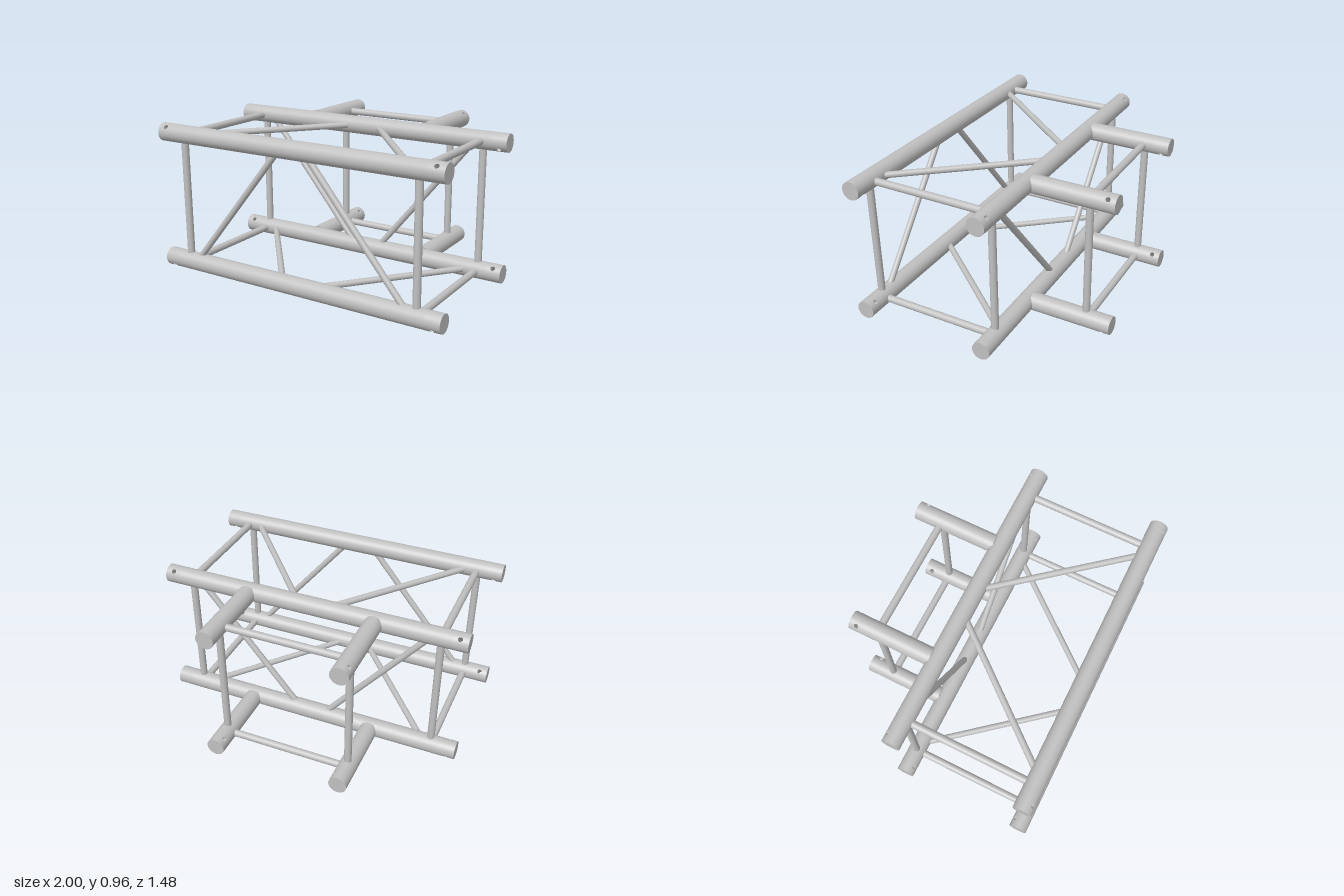
import * as THREE from 'three';
import { mergeGeometries } from 'three/addons/utils/BufferGeometryUtils.js';

const R = 0.0585;        // main tube radius
const HOLE = 0.0145;     // pin hole radius
const HALF = 0.045;      // half length of a drilled tube section
const SEG = 48;
const TOP = 0.9, BOTTOM = 0.0585, FRONT = 0.68, BACK = -0.16;

const V = (x, y, z) => new THREE.Vector3(x, y, z);

// Quarter of a tube wall, facing local +x, with a round hole in its middle
function holePatch() {
  const rings = 4, pos = [], nor = [], idx = [];
  for (let j = 0; j <= rings; j++) {
    for (let i = 0; i <= SEG; i++) {
      const p = (i / SEG) * Math.PI * 2, c = Math.cos(p), s = Math.sin(p);
      const k = 1 / Math.max(Math.abs(c), Math.abs(s)), t = j / rings;
      const a = THREE.MathUtils.lerp(Math.asin(HOLE * c / R), c * k * Math.PI / 4, t);
      const y = THREE.MathUtils.lerp(HOLE * s, s * k * HALF, t);
      pos.push(R * Math.cos(a), y, -R * Math.sin(a));
      nor.push(Math.cos(a), 0, -Math.sin(a));
    }
  }
  for (let j = 0; j < rings; j++) {
    for (let i = 0; i < SEG; i++) {
      const a = j * (SEG + 1) + i, b = a + SEG + 1;
      idx.push(a, b, b + 1, a, b + 1, a + 1);
    }
  }
  const g = new THREE.BufferGeometry();
  g.setAttribute('position', new THREE.Float32BufferAttribute(pos, 3));
  g.setAttribute('normal', new THREE.Float32BufferAttribute(nor, 3));
  g.setIndex(idx);
  return g;
}

// Inner wall of the pin hole, trimmed to the tube's curve
function holeWall() {
  const g = new THREE.CylinderGeometry(HOLE, HOLE, 1, 24, 1, true).rotateZ(Math.PI / 2);
  const p = g.attributes.position;
  for (let i = 0; i < p.count; i++) {
    p.setX(i, Math.sign(p.getX(i)) * Math.sqrt(R * R - p.getZ(i) ** 2));
  }
  return g;
}

// Tube along local y, drilled right through along local x at each given height
function drilledTube(length, holes) {
  const parts = [];
  const plain = (from, to) => parts.push(
    new THREE.CylinderGeometry(R, R, to - from, SEG).translate(0, (from + to) / 2, 0));
  let start = -length / 2;
  for (const y of holes) {
    plain(start, y - HALF);
    for (const turn of [0, Math.PI]) {
      parts.push(holePatch().rotateY(turn).translate(0, y, 0));
      parts.push(new THREE.CylinderGeometry(R, R, 2 * HALF, SEG / 4, 1, true,
        turn - Math.PI / 4, Math.PI / 2).translate(0, y, 0));
    }
    parts.push(holeWall().translate(0, y, 0));
    start = y + HALF;
  }
  plain(start, length / 2);
  parts.forEach((g) => g.deleteAttribute('uv'));
  return mergeGeometries(parts);
}

export function createModel() {
  const model = new THREE.Group();
  model.name = 'trussJunction';
  const metal = new THREE.MeshStandardMaterial({ color: 0xc0c0c0, side: THREE.DoubleSide });
  metal.name = 'aluminium';

  const addTube = (name, geometry, centre, axis, drill) => {
    const mesh = new THREE.Mesh(geometry, metal);
    mesh.name = name;
    const d = drill.clone().normalize();
    mesh.quaternion.setFromRotationMatrix(
      new THREE.Matrix4().makeBasis(d, axis, d.clone().cross(axis)));
    mesh.position.copy(centre);
    model.add(mesh);
  };

  // Thin round bar between two points
  const addBar = (name, a, b, radius = 0.0235) => {
    const dir = b.clone().sub(a);
    const mesh = new THREE.Mesh(new THREE.CylinderGeometry(radius, radius, dir.length(), 24), metal);
    mesh.name = name;
    mesh.position.copy(a).add(b).multiplyScalar(0.5);
    mesh.quaternion.setFromUnitVectors(V(0, 1, 0), dir.normalize());
    model.add(mesh);
  };

  // Four long chords, pin holes slanting outwards
  const chord = drilledTube(2, [-0.947, 0.947]);
  for (const y of [TOP, BOTTOM]) {
    for (const z of [FRONT, BACK]) {
      addTube('chord', chord, V(0, y, z), V(1, 0, 0),
        V(0, y === TOP ? 1 : -1, z === FRONT ? 1 : -1));
    }
  }

  // Four short branch tubes at the back
  const branchFront = -0.196, branchBack = -0.738;
  const branchLength = branchFront - branchBack;
  const branchMiddle = (branchFront + branchBack) / 2;
  const branch = drilledTube(branchLength, [branchMiddle + 0.688]);
  for (const y of [TOP, BOTTOM]) {
    for (const s of [-1, 1]) {
      addTube('branchTube', branch, V(s * 0.42, y, branchMiddle), V(0, 0, -1),
        V(s, y === TOP ? 1 : -1, 0));
    }
    addBar('branchCrossBar', V(-0.42, y, -0.567), V(0.42, y, -0.567));
  }

  // Diagonals run from outer (0.73) to inner (0.135) and reach into the chords
  const OUTER = 0.755, INNER = 0.11, IN = 0.03;
  for (const s of [-1, 1]) {
    addBar('branchPost', V(s * 0.42, BOTTOM, -0.565), V(s * 0.42, TOP, -0.565));
    for (const z of [FRONT, BACK]) addBar('post', V(s * 0.83, BOTTOM, z), V(s * 0.83, TOP, z));
    for (const y of [TOP, BOTTOM]) addBar('endCrossBar', V(s * 0.83, y, FRONT), V(s * 0.83, y, BACK));

    const yLow = BOTTOM + IN, yHigh = TOP - IN, zNear = FRONT - IN, zFar = BACK + IN;
    addBar('frontDiagonal', V(s * OUTER, yLow, FRONT), V(s * INNER, yHigh, FRONT), 0.02);
    addBar('backDiagonal', V(s * INNER, yLow, BACK), V(s * OUTER, yHigh, BACK), 0.02);
    addBar('topDiagonal', V(s * OUTER, TOP, zNear), V(s * INNER, TOP, zFar), 0.02);
    addBar('bottomDiagonal', V(s * INNER, BOTTOM, zNear), V(s * OUTER, BOTTOM, zFar), 0.02);
  }
  return model;
}
